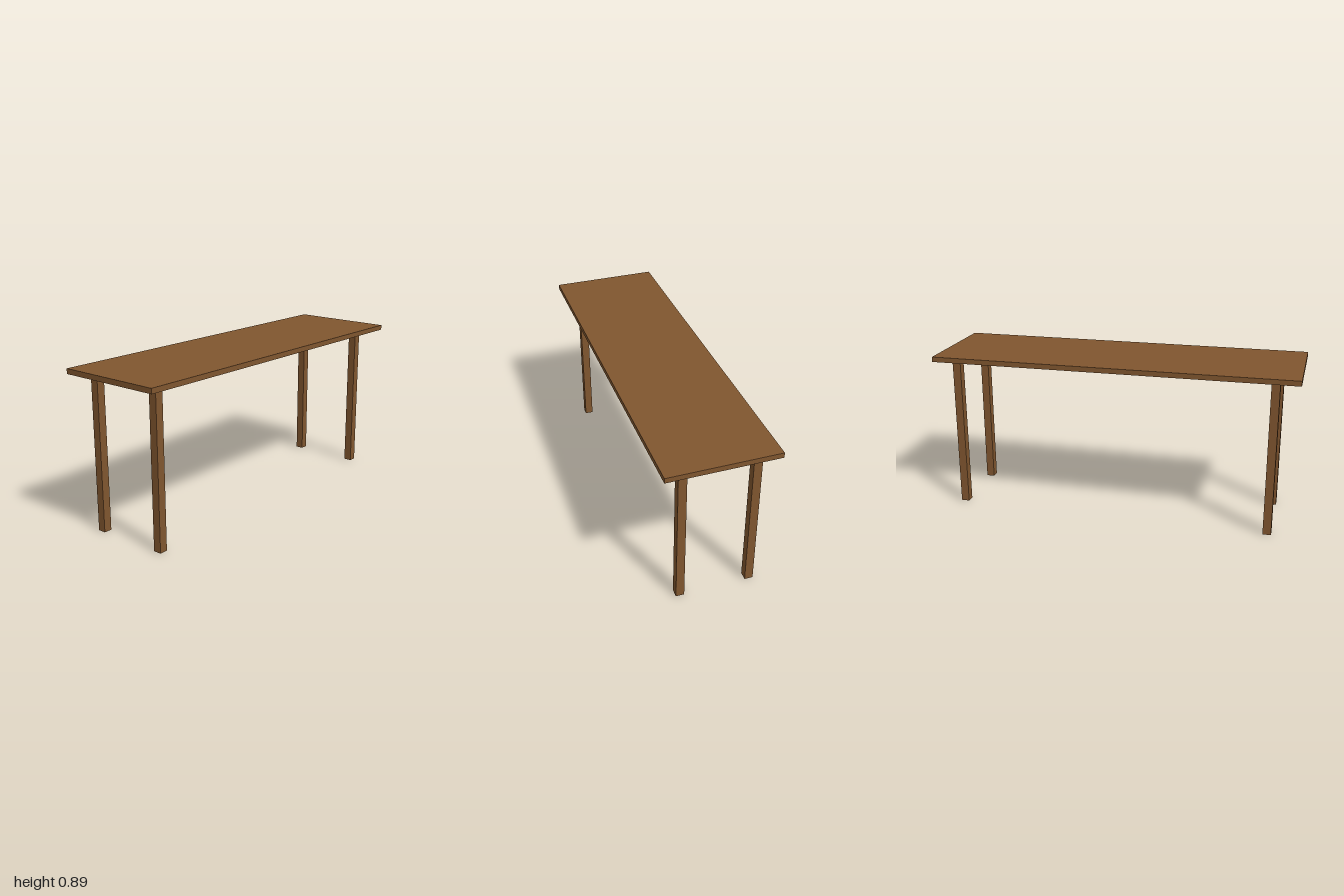
import * as THREE from 'three';

export function createModel() {
  const group = new THREE.Group();
  const wood = new THREE.MeshStandardMaterial({ color: 0x80562f });

  const box = (name, size, position) => {
    const mesh = new THREE.Mesh(new THREE.BoxGeometry(...size), wood);
    mesh.name = name;
    mesh.position.set(...position);
    group.add(mesh);
    return mesh;
  };

  // Thin top, dipping very slightly towards +x
  const top = box('tableTop', [2, 0.028, 0.588], [0, 0.8685, 0]);
  top.rotation.set(0.001, 0, -0.0045);

  // Square legs, slightly uneven in placement: name, x, z, bottom, top
  const legs = [
    ['frontLeftLeg', 0.884, 0.1705, 0.003, 0.852],
    ['backLeftLeg', 0.884, -0.2125, 0.003, 0.852],
    ['frontRightLeg', -0.864, 0.1825, 0, 0.86],
    ['backRightLeg', -0.87, -0.22, 0, 0.86],
  ];
  for (const [name, x, z, bottom, topY] of legs) {
    box(name, [0.045, topY - bottom, 0.045], [x, (bottom + topY) / 2, z]);
  }

  return group;
}
